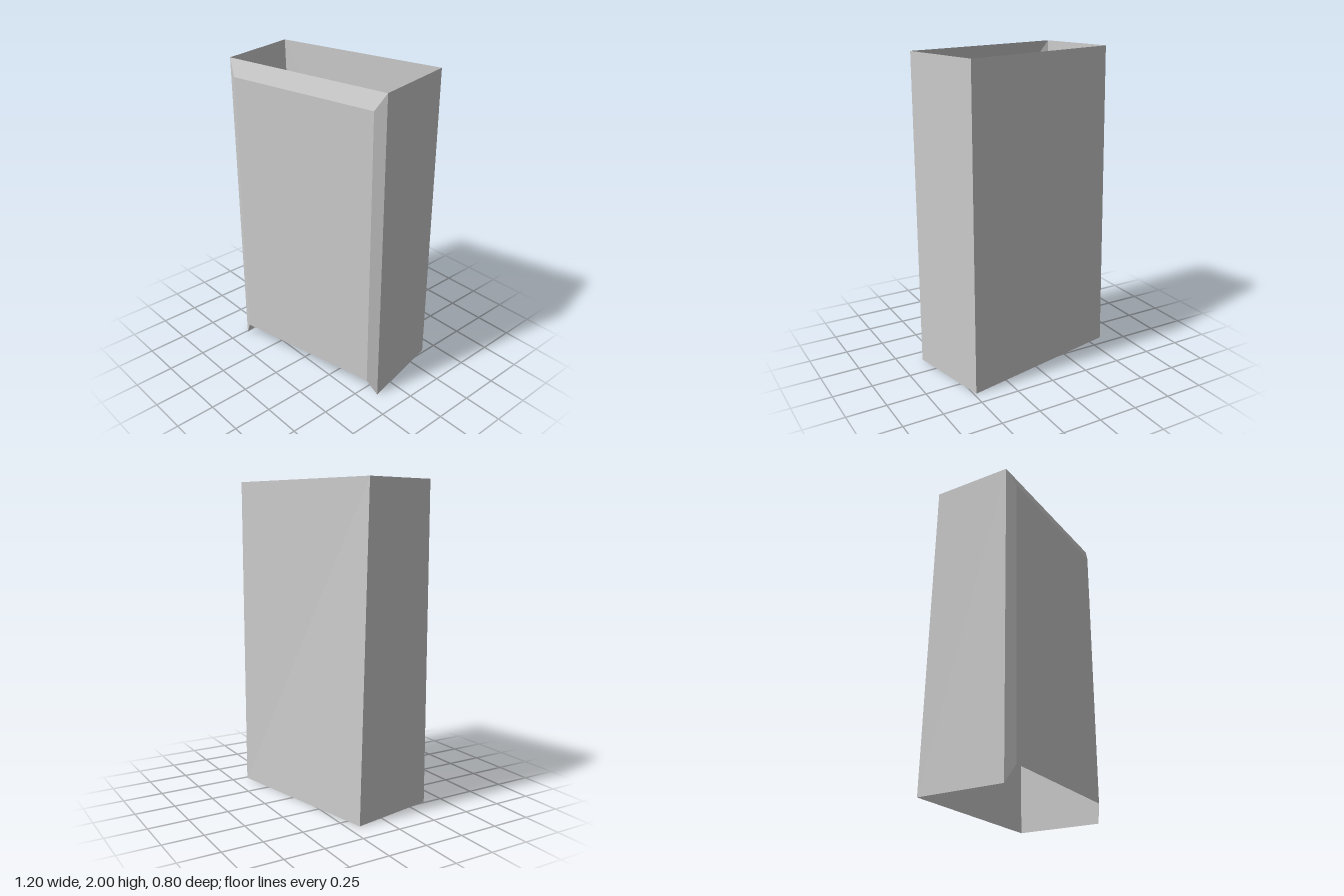
import * as THREE from 'three';

const material = new THREE.MeshStandardMaterial({
  color: 0xcccccc, flatShading: true, side: THREE.DoubleSide,
});

// Four-sided sheet; corners run counter-clockwise seen from outside.
function sheet(name, a, b, c, d) {
  const geometry = new THREE.BufferGeometry();
  geometry.setAttribute('position',
    new THREE.Float32BufferAttribute([a, b, c, a, c, d].flat(), 3));
  geometry.computeVertexNormals();
  const mesh = new THREE.Mesh(geometry, material);
  mesh.name = name;
  return mesh;
}

// An upright corner edge, with an optional shift in z at its foot.
function edge(x, z, y0 = 0, y1 = 2, footZ = z) {
  return { low: [x, y0, footZ], high: [x, y1, z] };
}

function wall(name, from, to) {
  return sheet(name, from.low, to.low, to.high, from.high);
}

export function createModel() {
  const group = new THREE.Group();
  group.name = 'openShell';

  // Outer corners of the shell
  const frontRight = edge(-0.49, 0.375);
  const frontLeft = edge(0.6, 0.15);
  const backLeft = edge(0.485, -0.4);
  const backRight = edge(-0.6, -0.125, 0, 2, -0.177);

  // Raised front panel, set in from the rim
  const panelRight = edge(-0.424, 0.4, 0.11, 1.9);
  const panelLeft = edge(0.55, 0.198, 0.11, 1.9);

  group.add(
    wall('leftWall', frontLeft, backLeft),
    wall('backWall', backLeft, backRight),
    wall('rightWall', backRight, frontRight),
    wall('frontPanel', panelRight, panelLeft),
    // Bevels on three sides; the bottom edge stays open
    wall('rightBevel', frontRight, panelRight),
    wall('leftBevel', panelLeft, frontLeft),
    sheet('topBevel', panelRight.high, panelLeft.high, frontLeft.high, frontRight.high),
  );
  return group;
}
